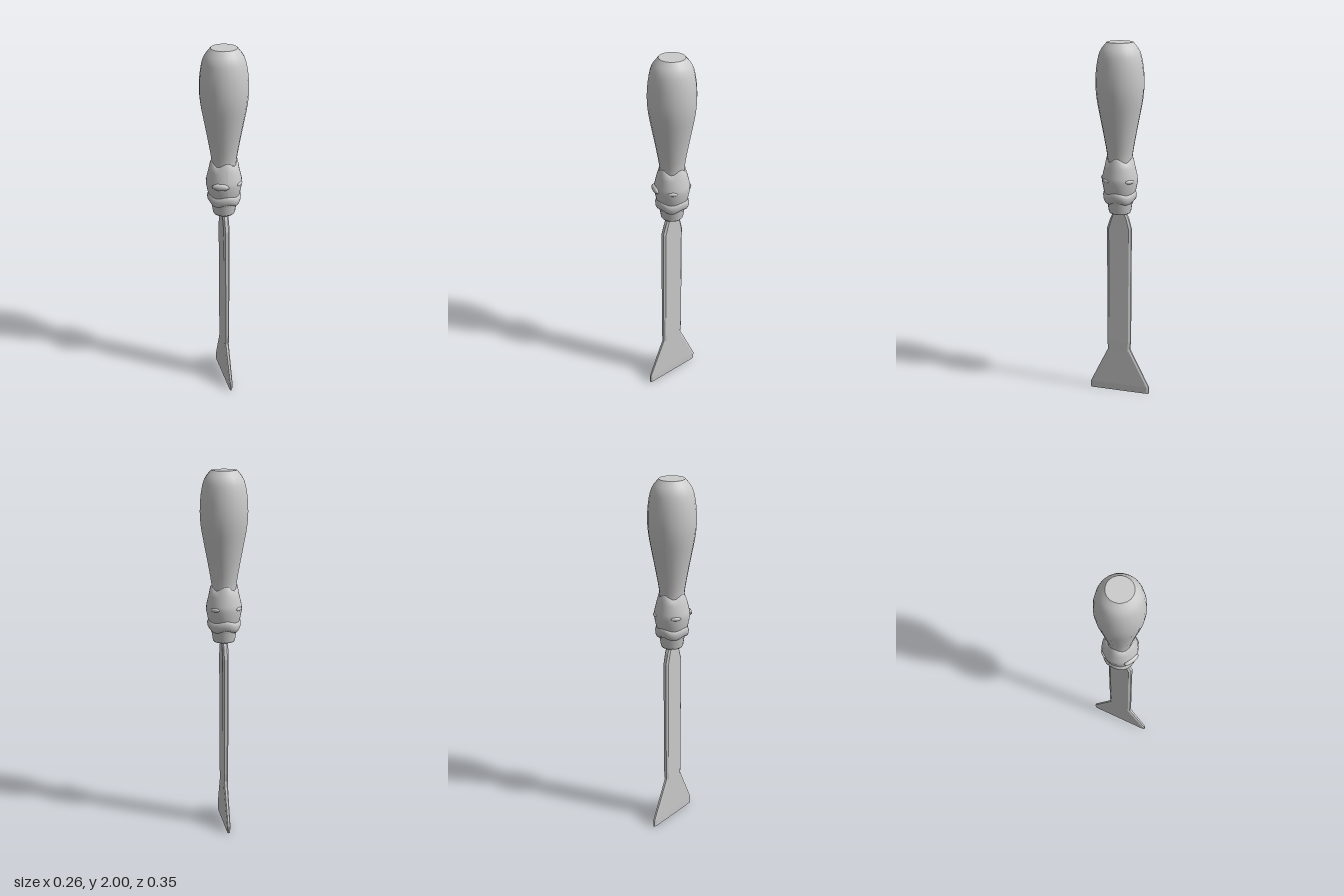
import * as THREE from 'three';

const metal = new THREE.MeshStandardMaterial({ color: 0xcccccc, side: THREE.DoubleSide });

// Turned part from [radius, y] pairs; smooth pairs are rounded with a spline.
function turned(name, profile, smooth, segments = 20) {
  let pts = profile.map(([r, y]) => new THREE.Vector2(r, y));
  if (smooth) pts = new THREE.SplineCurve(pts).getPoints(24);
  const mesh = new THREE.Mesh(new THREE.LatheGeometry(pts, segments), metal);
  mesh.name = name;
  return mesh;
}

// Shift vertices up and down in waves around the axis.
function scallop(mesh, amount, lobes, above = -Infinity) {
  const p = mesh.geometry.attributes.position;
  for (let i = 0; i < p.count; i++) {
    if (p.getY(i) < above) continue;
    p.setY(i, p.getY(i) + amount * Math.cos(lobes * Math.atan2(p.getZ(i), p.getX(i))));
  }
  mesh.geometry.computeVertexNormals();
  return mesh;
}

// Flat bar with chamfered edges, lofted through [y, zBack, zFront, halfThickness].
function loftedBlade(name, sections) {
  const rings = sections.map(([y, zb, zf, t]) => {
    const c = Math.min(0.012, (zf - zb) * 0.1);
    return [
      [t, y, zb + c], [t, y, zf - c], [t * 0.5, y, zf], [-t * 0.5, y, zf],
      [-t, y, zf - c], [-t, y, zb + c], [-t * 0.5, y, zb], [t * 0.5, y, zb],
    ];
  });
  const pos = [];
  const tri = (a, b, c) => pos.push(...a, ...b, ...c);
  const n = 8;
  for (let i = 0; i < rings.length - 1; i++) {
    for (let j = 0; j < n; j++) {
      const k = (j + 1) % n;
      const [a, b, c, d] = [rings[i][j], rings[i][k], rings[i + 1][k], rings[i + 1][j]];
      tri(a, c, b);
      tri(a, d, c);
    }
  }
  const bottom = rings[0], top = rings[rings.length - 1];
  for (let j = 1; j < n - 1; j++) {
    tri(bottom[0], bottom[j], bottom[j + 1]);
    tri(top[0], top[j + 1], top[j]);
  }
  const geometry = new THREE.BufferGeometry();
  geometry.setAttribute('position', new THREE.Float32BufferAttribute(pos, 3));
  geometry.computeVertexNormals();
  const mesh = new THREE.Mesh(geometry, metal);
  mesh.name = name;
  return mesh;
}

export function createModel() {
  const model = new THREE.Group();
  model.name = 'scraper';

  // Grip, swelling towards the top, with a flat end
  model.add(turned('grip', [
    [0.066, 1.34], [0.07, 1.4], [0.087, 1.5], [0.108, 1.61], [0.124, 1.7],
    [0.13, 1.78], [0.125, 1.87], [0.107, 1.95], [0.07, 2],
  ], true));
  const cap = new THREE.Mesh(new THREE.CircleGeometry(0.07, 20), metal);
  cap.name = 'gripEnd';
  cap.rotation.x = -Math.PI / 2;
  cap.position.y = 2;
  model.add(cap);

  // Ferrule with a scalloped upper rim
  model.add(scallop(turned('ferrule', [
    [0.072, 1.13], [0.08, 1.17], [0.088, 1.2], [0.098, 1.25], [0.096, 1.28],
    [0.084, 1.33], [0.074, 1.372], [0.06, 1.374],
  ], false, 32), 0.012, 4, 1.36));

  // Wavy raised band
  model.add(scallop(turned('ferruleBand', [
    [0.07, 1.135], [0.082, 1.14], [0.09, 1.155], [0.092, 1.175], [0.088, 1.19], [0.078, 1.2],
  ], false, 32), 0.008, 4));

  // Socket holding the blade
  model.add(turned('socket', [
    [0, 1.072], [0.056, 1.072], [0.061, 1.08], [0.072, 1.15],
  ], false));

  // Lens-shaped bumps around the ferrule, the front right one larger
  [[115, 1.4], [40, 0.8], [-50, 0.8], [-140, 0.8]].forEach(([degrees, size]) => {
    const a = THREE.MathUtils.degToRad(degrees);
    const bump = new THREE.Mesh(new THREE.SphereGeometry(1, 12, 8), metal);
    bump.name = 'ferruleBump';
    bump.scale.set(0.012 * size, 0.014 * size, 0.034 * size);
    bump.position.set(Math.cos(a) * 0.094, 1.262, Math.sin(a) * 0.094);
    bump.rotation.y = -a;
    model.add(bump);
  });

  // Shank, rounded in at the socket
  model.add(loftedBlade('shank', [
    [0.25, -0.058, 0.07, 0.014], [0.31, -0.064, 0.072, 0.015], [0.98, -0.066, 0.072, 0.017],
    [1.04, -0.05, 0.052, 0.017], [1.07, -0.036, 0.038, 0.017], [1.1, -0.032, 0.034, 0.017],
  ]));

  // Flared scraping head
  model.add(loftedBlade('scraperHead', [
    [0, -0.172, 0.175, 0.008], [0.04, -0.172, 0.174, 0.01],
    [0.25, -0.066, 0.072, 0.013], [0.28, -0.054, 0.058, 0.013],
  ]));
  return model;
}
